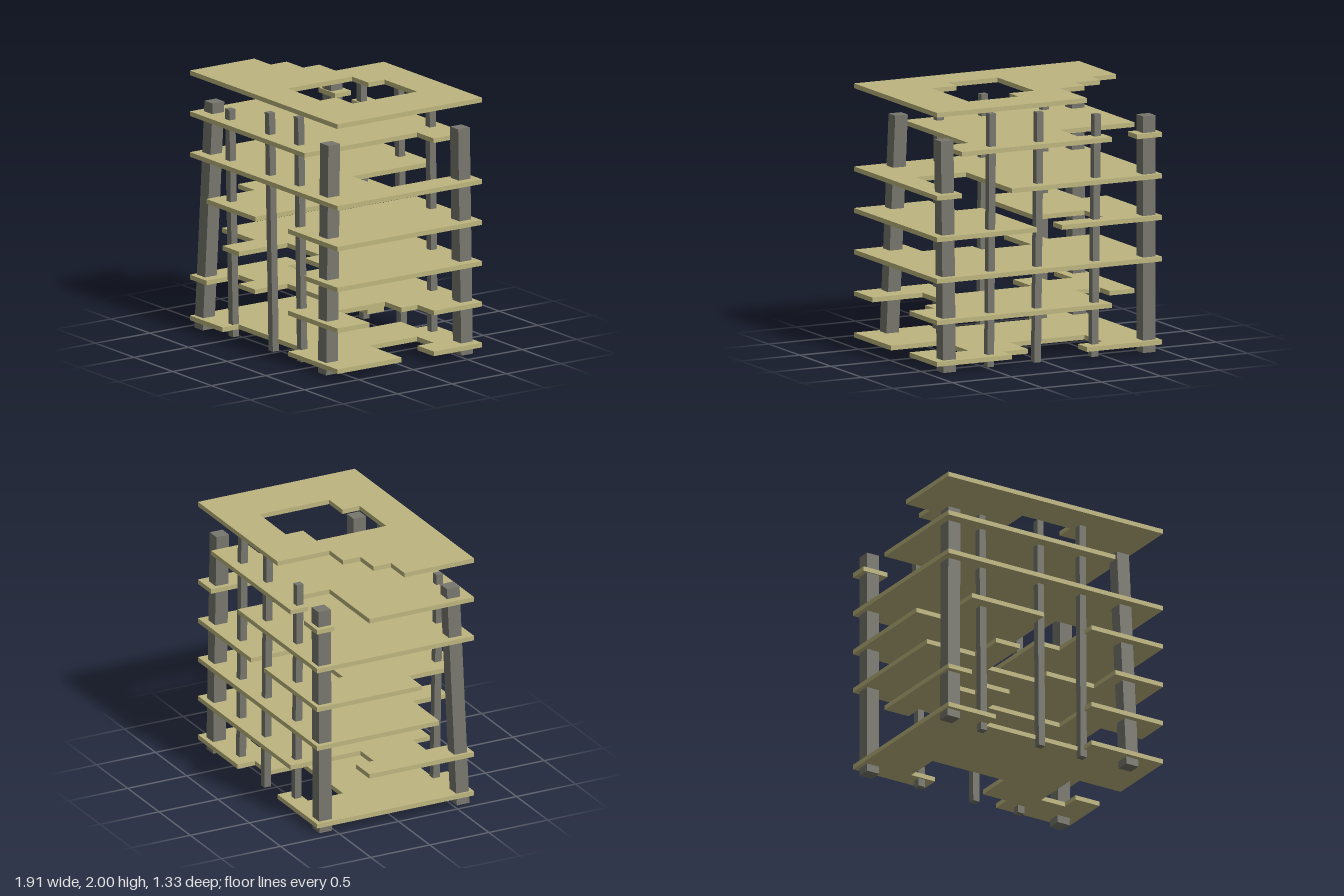
import * as THREE from 'three';

const slabMat = new THREE.MeshStandardMaterial({ color: 0xbdb67f });
slabMat.name = 'khaki slab';
const columnMat = new THREE.MeshStandardMaterial({ color: 0x77776e });
columnMat.name = 'grey column';

const N = 9, HALF_X = 0.953, HALF_Z = 0.665, THICK = 0.036;
const FULL = '#########';

// Floor plans, nine rows each from back to front, columns from -x to +x
const plans = [
  ['###...###', '##...####', '##...##.#', '#######..', '#######..', FULL, FULL, FULL, '##....###'],
  ['..#######', '..#######', '..#######', '#.######.', '#######..', '#######..', '###...#..', '#.#...###', '#.....###'],
  [FULL, FULL, FULL, FULL, FULL, FULL, '###..####', '..#....##', '..#....##'],
  ['####.####', '##...####', '##...####', '####.####', '####.####', '####.####', '.###..###', '.###..###', '.###..###'],
  ['######..#', '######..#', '######..#', '######..#', '######..#', FULL, FULL, FULL, FULL],
  ['#.######.', '...#####.', '...####..', '#######..', '#######..', '#######..', '#######..', '#######..', '#######..'],
  ['...######', '...######', '...##..##', '..##...##', '.###...##', '####...##', '####..###', FULL, FULL],
];

// Slab from a plan: top and bottom per cell, sides only on exposed edges
function slabGeometry(plan) {
  const pos = [];
  const has = (c, r) => r >= 0 && r < N && plan[r][c] === '#';
  const quad = (a, b, c, d) => pos.push(...a, ...b, ...c, ...a, ...c, ...d);
  const t = THICK / 2;
  for (let r = 0; r < N; r++) for (let c = 0; c < N; c++) {
    if (!has(c, r)) continue;
    const x0 = HALF_X * (2 * c / N - 1), x1 = HALF_X * (2 * (c + 1) / N - 1);
    const z0 = HALF_Z * (2 * r / N - 1), z1 = HALF_Z * (2 * (r + 1) / N - 1);
    quad([x0, t, z1], [x1, t, z1], [x1, t, z0], [x0, t, z0]);
    quad([x0, -t, z0], [x1, -t, z0], [x1, -t, z1], [x0, -t, z1]);
    if (!has(c, r + 1)) quad([x0, -t, z1], [x1, -t, z1], [x1, t, z1], [x0, t, z1]);
    if (!has(c, r - 1)) quad([x1, -t, z0], [x0, -t, z0], [x0, t, z0], [x1, t, z0]);
    if (!has(c + 1, r)) quad([x1, -t, z1], [x1, -t, z0], [x1, t, z0], [x1, t, z1]);
    if (!has(c - 1, r)) quad([x0, -t, z0], [x0, -t, z1], [x0, t, z1], [x0, t, z0]);
  }
  const g = new THREE.BufferGeometry();
  g.setAttribute('position', new THREE.Float32BufferAttribute(pos, 3));
  g.computeVertexNormals();
  return g;
}

// Square column leaning from its foot to its head
function column(name, width, foot, head, top) {
  const bottom = 0.005;
  const g = new THREE.BoxGeometry(width, top - bottom, width);
  const p = g.attributes.position;
  for (let i = 0; i < p.count; i++) {
    const end = p.getY(i) > 0 ? head : foot;
    p.setXYZ(i, p.getX(i) + end[0], p.getY(i) > 0 ? top : bottom, p.getZ(i) + end[1]);
  }
  g.computeVertexNormals();
  const m = new THREE.Mesh(g, columnMat);
  m.name = name;
  return m;
}

export function createModel() {
  const model = new THREE.Group();
  model.name = 'slabTower';

  // Stacked slabs
  plans.forEach((plan, i) => {
    const slab = new THREE.Mesh(slabGeometry(plan), slabMat);
    slab.name = i === plans.length - 1 ? 'roofSlab' : `floorSlab${i}`;
    slab.position.y = 0.082 + i * 0.3167;
    model.add(slab);
  });

  // Thick corner columns
  const thick = 0.107;
  model.add(
    column('cornerColumnFrontLeft', thick, [0.705, 0.575], [0.655, 0.52], 1.765),
    column('cornerColumnFrontRight', thick, [-0.885, 0.58], [-0.84, 0.52], 1.765),
    column('cornerColumnBackLeft', thick, [0.828, -0.578], [0.832, -0.547], 1.765),
    column('cornerColumnBackRight', thick, [-0.865, -0.575], [-0.862, -0.582], 1.81),
  );

  // Thin columns between the corners: foot x, head x, top
  const thin = 0.056;
  [[-0.57, -0.595, 1.765], [-0.055, -0.08, 1.85], [0.315, 0.295, 1.9]].forEach(([f, h, top], i) =>
    model.add(column(`thinColumnFront${i}`, thin, [f, 0.533], [h, 0.55], top)));
  [[-0.425, -0.452, 1.85], [0.06, 0.035, 1.91], [0.458, 0.437, 1.935]].forEach(([f, h, top], i) =>
    model.add(column(`thinColumnBack${i}`, thin, [f, -0.562], [h, -0.557], top)));

  return model;
}
